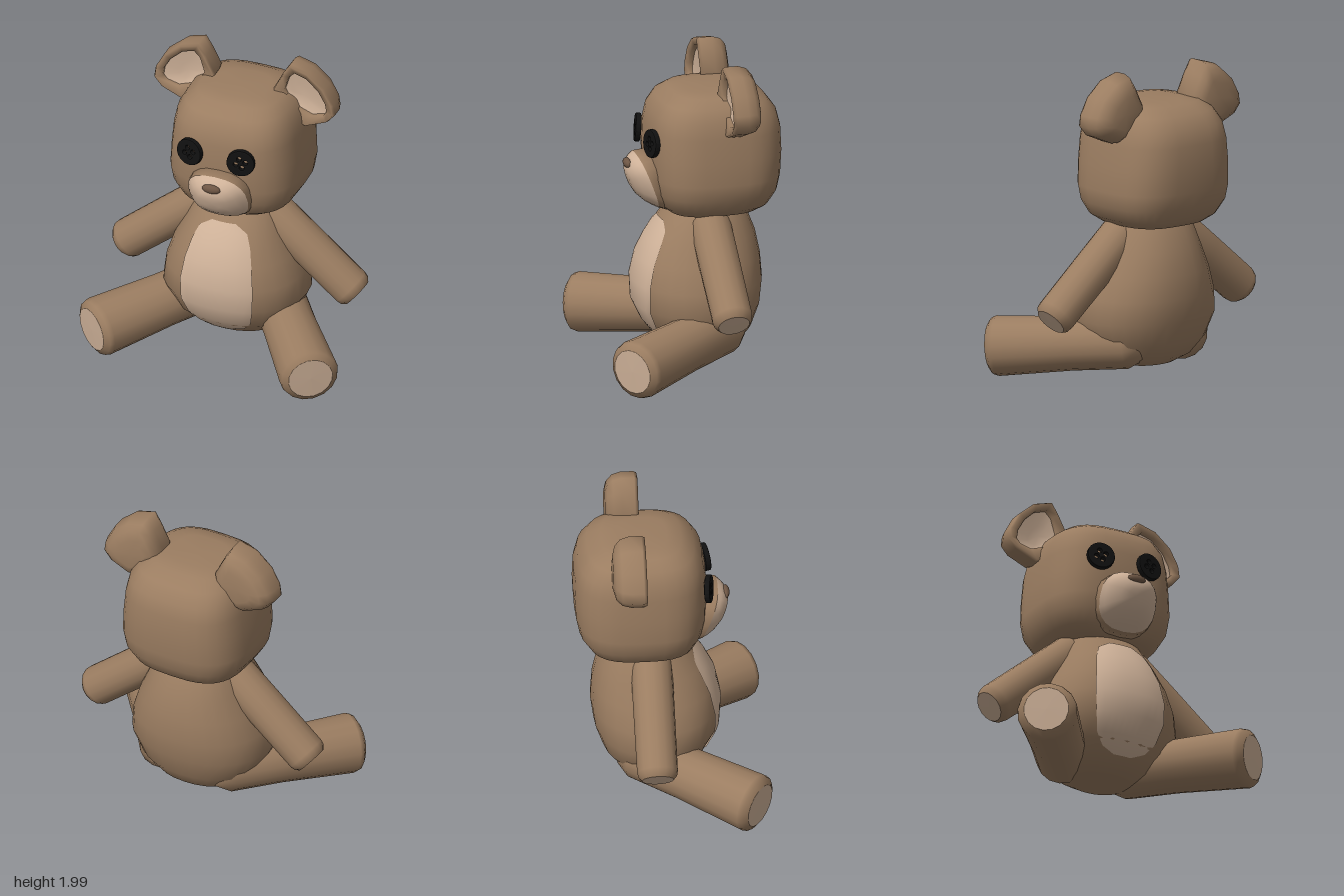
import * as THREE from 'three';

const material = (color, side = THREE.FrontSide) =>
  new THREE.MeshStandardMaterial({ color, roughness: 0.9, side });
const fur = material(0x9b7d61);
const cream = material(0xcfb299, THREE.DoubleSide);
const black = material(0x111111);
const noseBrown = material(0x6e5644);

function add(parent, name, geometry, mat) {
  const mesh = new THREE.Mesh(geometry, mat);
  mesh.name = name;
  parent.add(mesh);
  return mesh;
}

// Skin a list of closed rings, optionally capping either end
function loft(rings, capStart = true, capEnd = true) {
  const n = rings[0].length, pos = [], idx = [];
  rings.forEach(r => r.forEach(p => pos.push(p.x, p.y, p.z)));
  for (let i = 0; i < rings.length - 1; i++) {
    for (let j = 0; j < n; j++) {
      const a = i * n + j, b = i * n + (j + 1) % n;
      idx.push(a, a + n, b, b, a + n, b + n);
    }
  }
  const cap = (row, flip) => {
    const c = new THREE.Vector3();
    rings[row].forEach(p => c.addScaledVector(p, 1 / n));
    const k = pos.length / 3;
    pos.push(c.x, c.y, c.z);
    for (let j = 0; j < n; j++) {
      const a = row * n + j, b = row * n + (j + 1) % n;
      if (flip) idx.push(k, b, a); else idx.push(k, a, b);
    }
  };
  if (capStart) cap(0, false);
  if (capEnd) cap(rings.length - 1, true);
  const g = new THREE.BufferGeometry();
  g.setAttribute('position', new THREE.Float32BufferAttribute(pos, 3));
  g.setIndex(idx);
  g.computeVertexNormals();
  return g;
}

const spow = (v, e) => Math.sign(v) * Math.abs(v) ** e;

// Upright form from rows of [height, half width, back z, front z]
function stack(rows, power, sides = 28) {
  return loft(rows.map(([y, w, zb, zf]) => Array.from({ length: sides }, (_, i) => {
    const t = i / sides * Math.PI * 2;
    return new THREE.Vector3(w * spow(Math.cos(t), 2 / power), y,
      (zb + zf) / 2 + (zf - zb) / 2 * spow(Math.sin(t), 2 / power));
  })));
}

const bodyRows = [
  [0.10, 0.18, -0.28, 0.02], [0.15, 0.30, -0.36, 0.13], [0.25, 0.40, -0.43, 0.23],
  [0.40, 0.47, -0.48, 0.30], [0.55, 0.45, -0.50, 0.31], [0.70, 0.40, -0.49, 0.28],
  [0.85, 0.33, -0.46, 0.21], [1.00, 0.27, -0.40, 0.10], [1.06, 0.22, -0.35, 0.05],
];
const headRows = [
  [1.00, 0.20, -0.40, 0.05], [1.015, 0.29, -0.47, 0.11], [1.06, 0.36, -0.53, 0.16],
  [1.15, 0.415, -0.58, 0.20], [1.25, 0.43, -0.60, 0.22], [1.40, 0.42, -0.61, 0.225],
  [1.55, 0.405, -0.605, 0.22], [1.65, 0.385, -0.58, 0.20], [1.73, 0.34, -0.52, 0.15],
  [1.78, 0.27, -0.43, 0.07], [1.795, 0.17, -0.33, -0.02],
];
const BODY_POWER = 2.2;

// Front surface of the body at a given x and y
function bodyFront(x, y) {
  let i = 0;
  while (i < bodyRows.length - 2 && bodyRows[i + 1][0] < y) i++;
  const a = bodyRows[i], b = bodyRows[i + 1], t = (y - a[0]) / (b[0] - a[0]);
  const [, w, zb, zf] = a.map((v, k) => v + (b[k] - v) * t);
  const d = Math.max(0, 1 - Math.abs(x / w) ** BODY_POWER) ** (1 / BODY_POWER);
  return (zb + zf) / 2 + (zf - zb) / 2 * d;
}

// Belly patch laid over the body front
function bellyPatch() {
  const widths = [[0.175, 0.06], [0.21, 0.15], [0.28, 0.21], [0.4, 0.24], [0.55, 0.245],
    [0.7, 0.225], [0.82, 0.195], [0.9, 0.16], [0.95, 0.08]];
  const cols = 10, g = new THREE.PlaneGeometry(1, 1, cols, widths.length - 1);
  const p = g.attributes.position;
  for (let i = 0; i < p.count; i++) {
    const [y, w] = widths[widths.length - 1 - Math.floor(i / (cols + 1))];
    const x = p.getX(i) * 2 * w;
    p.setXYZ(i, x, y, bodyFront(x, y) + 0.008);
  }
  g.computeVertexNormals();
  return g;
}

// Rounded tube from a to b with a flat pad on its end
function limb(parent, name, a, b, r0, r1, padR) {
  const from = new THREE.Vector3(...a), dir = new THREE.Vector3(...b).sub(from);
  const L = dir.length(), g = new THREE.Group();
  const V = (x, y) => new THREE.Vector2(x, y);
  g.name = name;
  g.position.copy(from);
  g.quaternion.setFromUnitVectors(new THREE.Vector3(0, 1, 0), dir.normalize());
  add(g, name + 'Sleeve', new THREE.LatheGeometry([V(0, -r0 * 0.8), V(r0 * 0.7, -r0 * 0.6),
    V(r0, 0), V(r0, L * 0.4), V(r1, L - 0.055), V(r1 * 0.95, L - 0.025), V(padR, L)], 16), fur);
  add(g, name + 'Pad', new THREE.LatheGeometry([V(padR, L), V(0, L + 0.002)], 16), cream);
  parent.add(g);
}

// Cupped ear with a recessed lining
function ear(parent, name, side) {
  const outer = [[0.42, 1.57], [0.56, 1.63], [0.61, 1.69], [0.6, 1.76], [0.54, 1.87],
    [0.43, 1.965], [0.31, 2], [0.26, 1.92], [0.2, 1.8], [0.23, 1.69], [0.32, 1.6]];
  const inner = [[0.45, 1.65], [0.53, 1.67], [0.555, 1.7], [0.545, 1.76], [0.5, 1.84],
    [0.42, 1.915], [0.34, 1.94], [0.3, 1.9], [0.27, 1.8], [0.3, 1.74], [0.37, 1.68]];
  const ring = (pts, z, s = 1) => {
    const r = pts.map(([x, y]) => new THREE.Vector3(
      side * (0.36 + (x - 0.36) * s), 1.75 + (y - 1.75) * s, z));
    return side < 0 ? r.reverse() : r;
  };
  const g = new THREE.Group();
  g.name = name;
  add(g, name + 'Shell', loft([ring(inner, -0.235), ring(inner, -0.195), ring(outer, -0.18, 0.96),
    ring(outer, -0.2), ring(outer, -0.28), ring(outer, -0.335, 0.93), ring(outer, -0.37, 0.76),
    ring(outer, -0.385, 0.5)], false), fur);
  add(g, name + 'Lining', loft([ring(inner, -0.235, 0.5), ring(inner, -0.222)], true, false), cream);
  parent.add(g);
}

// Button with four thread holes
function buttonGeometry() {
  const shape = new THREE.Shape().absarc(0, 0, 0.09, 0, Math.PI * 2);
  for (let i = 0; i < 4; i++) {
    const t = 0.3 + i * Math.PI / 2;
    shape.holes.push(new THREE.Path().absarc(0.032 * Math.cos(t), 0.032 * Math.sin(t), 0.014, 0, Math.PI * 2, true));
  }
  return new THREE.ExtrudeGeometry(shape, { depth: 0.02, curveSegments: 12,
    bevelThickness: 0.008, bevelSize: 0.008, bevelOffset: -0.008, bevelSegments: 2 });
}

// Muzzle outline ring, leaning back towards the chin
function muzzleRing(s, bulge, z) {
  return Array.from({ length: 20 }, (_, i) => {
    const t = i / 20 * Math.PI * 2;
    const x = 0.2 * s * spow(Math.cos(t), 0.8);
    const y = 1.205 + 0.175 * s * spow(Math.sin(t), 0.8);
    return new THREE.Vector3(x, y, z ?? 0.17 + (y - 1.03) * 0.37 + bulge);
  });
}

export function createModel() {
  const bear = new THREE.Group();
  bear.name = 'teddyBear';

  add(bear, 'body', stack(bodyRows, BODY_POWER), fur);
  add(bear, 'bellyPatch', bellyPatch(), cream);
  add(bear, 'head', stack(headRows, 3, 32), fur);

  // Muzzle and nose
  add(bear, 'muzzle', loft([0.25, 0.5, 0.75, 0.9, 1].map(s =>
    muzzleRing(s, 0.11 * (1 - s ** 3))), true, false), cream);
  add(bear, 'muzzleBase', loft([muzzleRing(1, 0), muzzleRing(1.1, 0, 0.12)], false), fur);
  const nose = add(bear, 'nose', new THREE.SphereGeometry(1, 16, 10), noseBrown);
  nose.scale.set(0.062, 0.03, 0.025);
  nose.position.set(0, 1.32, 0.35);

  // Paired parts
  for (const [side, label] of [[1, 'left'], [-1, 'right']]) {
    limb(bear, label + 'Arm', [side * 0.21, 0.94, -0.13], [side * 0.79, 0.455, -0.13], 0.13, 0.128, 0.1);
    limb(bear, label + 'Leg', [side * 0.22, 0.26, -0.2], [side * 0.74, 0.19, 0.515], 0.17, 0.19, 0.142);
    ear(bear, label + 'Ear', side);
    const eye = add(bear, label + 'ButtonEye', buttonGeometry(), black);
    eye.position.set(side * 0.17 - 0.02, 1.483, 0.222);
    eye.rotation.set(-0.08, side * 0.2, 0);
  }
  return bear;
}
